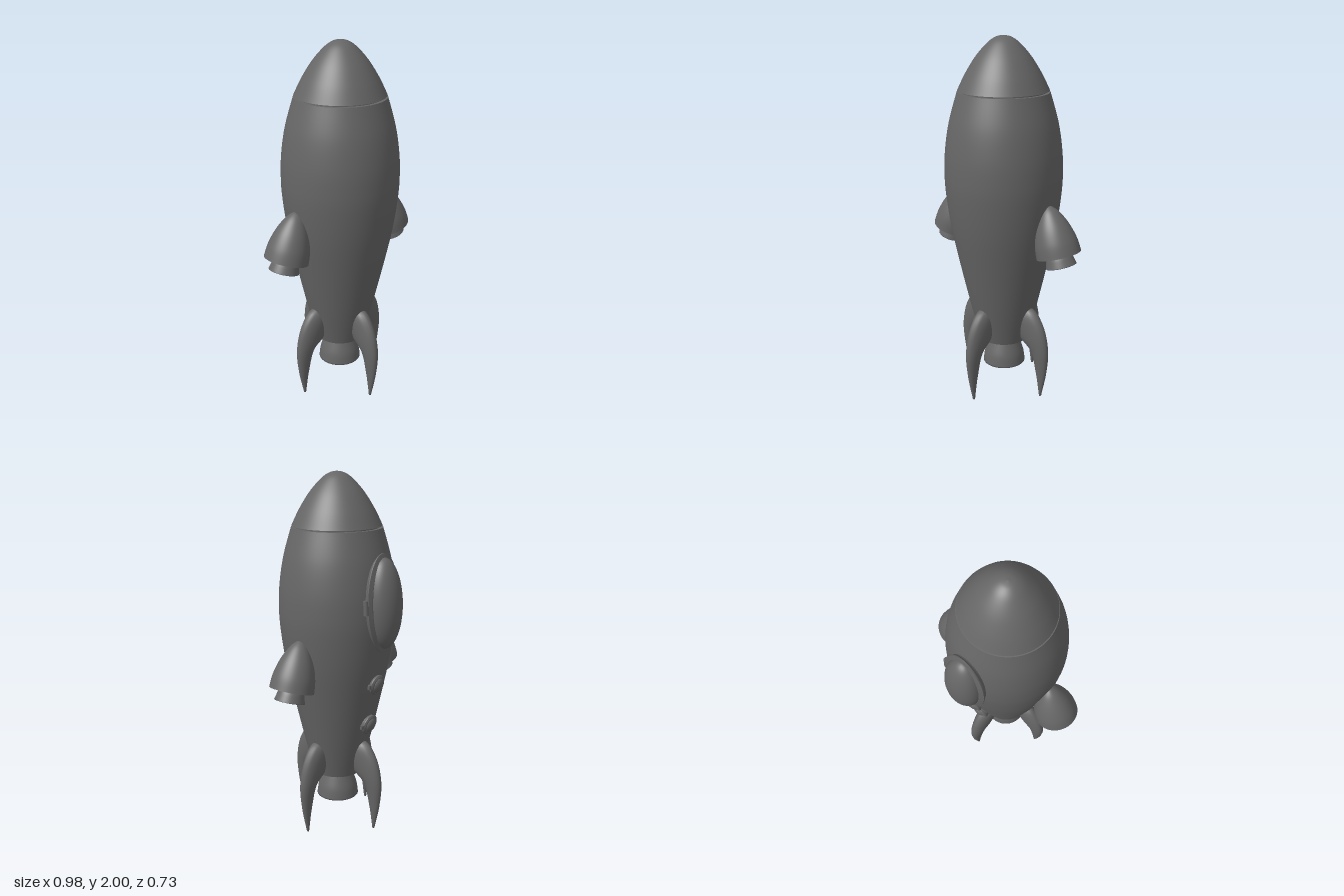
import * as THREE from 'three';

const paint = new THREE.MeshStandardMaterial({ color: 0x666666 });
const thinPaint = new THREE.MeshStandardMaterial({ color: 0x666666, side: THREE.DoubleSide });

function mesh(name, geometry, material = paint) {
  const m = new THREE.Mesh(geometry, material);
  m.name = name;
  return m;
}

const vecs = (pts) => pts.map(([x, y]) => new THREE.Vector2(x, y));
const smooth = (pts, n = 40) => new THREE.SplineCurve(vecs(pts)).getPoints(n);

// Lathe whose profile pieces are smooth inside and creased where they meet
const lathe = (...pieces) => new THREE.LatheGeometry(pieces.flat(), 64);

// Straight-sided profile: every corner is doubled to stay sharp
const sharp = (pts) => vecs(pts).flatMap((p) => [p, p.clone()]);

// Hollow bell nozzle hanging below y = 0
function nozzle(name, topR, bottomR, height) {
  const wall = bottomR * 0.12;
  const bell = (inset) => smooth([
    [bottomR - inset, -height],
    [bottomR * 0.93 - inset, -height * 0.65],
    [topR + (bottomR - topR) * 0.4 - inset, -height * 0.3],
    [topR - inset, 0],
  ], 16);
  const inner = bell(wall).reverse();
  return mesh(name, lathe([new THREE.Vector2(0, 0)], inner, bell(0)), thinPaint);
}

// Swept fin: elliptical cross-sections between an outer and an inner edge
function finGeometry() {
  // outer edge as (x, y, half thickness), inner edge as (x, y)
  const outer = new THREE.CatmullRomCurve3([
    [0.165, 0.538, 0.034], [0.225, 0.51, 0.046], [0.282, 0.43, 0.045],
    [0.314, 0.3, 0.036], [0.306, 0.16, 0.022], [0.274, 0.004, 0.007],
  ].map((p) => new THREE.Vector3(...p)));
  const inner = new THREE.CatmullRomCurve3([
    [0.1, 0.5], [0.1, 0.42], [0.13, 0.335],
    [0.2, 0.28], [0.238, 0.15], [0.262, 0.004],
  ].map(([x, y]) => new THREE.Vector3(x, y, 0)));
  const rows = 32, sides = 20, pos = [], idx = [];
  for (let i = -1; i <= rows + 1; i++) {
    const t = THREE.MathUtils.clamp(i / rows, 0, 1);
    const k = i < 0 || i > rows ? 0 : 1; // closed ends
    const o = outer.getPoint(t), n = inner.getPoint(t);
    for (let j = 0; j < sides; j++) {
      const a = (j / sides) * Math.PI * 2, c = Math.cos(a) * 0.5 * k;
      pos.push((o.x + n.x) / 2 + (o.x - n.x) * c, (o.y + n.y) / 2 + (o.y - n.y) * c, o.z * Math.sin(a) * k);
    }
  }
  for (let i = 0; i < rows + 2; i++) {
    for (let j = 0; j < sides; j++) {
      const a = i * sides + j, b = i * sides + ((j + 1) % sides);
      idx.push(a, b, b + sides, a, b + sides, a + sides);
    }
  }
  const g = new THREE.BufferGeometry();
  g.setAttribute('position', new THREE.Float32BufferAttribute(pos, 3));
  g.setIndex(idx);
  g.computeVertexNormals();
  return g;
}

// Framed oval window with a domed pane and a side hinge, facing +y before it is turned
function makeWindow(name, w, h, rim, depth, thick) {
  const g = new THREE.Group();
  g.name = name;
  const frame = mesh(name + 'Frame', lathe(sharp([
    [0.9, -thick * 1.6], [0.94, -thick * 0.8], [1, -thick * 0.3], [1, 0], [0.84, thick * 0.45], [0, thick * 0.45],
  ])));
  frame.scale.set(w, 1, h);
  const dome = mesh(name + 'Pane', new THREE.SphereGeometry(1, 48, 20, 0, Math.PI * 2, 0, Math.PI / 2));
  dome.scale.set(w - rim, depth, h - rim * 0.8);
  const hinge = mesh(name + 'Hinge', new THREE.CylinderGeometry(thick * 0.6, thick * 0.6, h * 0.25 + 0.01, 16));
  hinge.rotation.x = Math.PI / 2;
  hinge.position.set(w + thick * 0.15, -thick * 0.6, 0);
  g.add(frame, dome, hinge);
  return g;
}

export function createModel() {
  const root = new THREE.Group();
  root.name = 'rocket';
  const rocket = new THREE.Group();
  rocket.name = 'rocketAssembly';
  rocket.position.z = 0.044;
  root.add(rocket);

  // Hull with a flat base and a thin groove under the nose
  rocket.add(mesh('hull', lathe(
    sharp([[0, 0.31], [0.138, 0.31]]),
    smooth([[0.138, 0.31], [0.193, 0.53], [0.253, 0.8], [0.292, 1.0], [0.314, 1.18], [0.318, 1.3],
      [0.311, 1.42], [0.288, 1.56], [0.244, 1.714]], 60),
    sharp([[0.244, 1.714], [0.225, 1.714], [0.225, 1.73]]),
  )));
  rocket.add(mesh('noseCone', lathe(
    sharp([[0.2, 1.722], [0.241, 1.722]]),
    smooth([[0.241, 1.722], [0.2, 1.805], [0.145, 1.892], [0.085, 1.96], [0.04, 1.991], [0, 2]]),
  )));

  // Main engine
  const engine = nozzle('mainNozzle', 0.075, 0.12, 0.165);
  engine.position.y = 0.315;
  rocket.add(engine);

  // Four landing fins
  const finGeo = finGeometry();
  for (let i = 0; i < 4; i++) {
    const fin = mesh('fin' + (i + 1), finGeo);
    fin.rotation.y = (i * Math.PI) / 2;
    rocket.add(fin);
  }

  // Tilted side boosters
  for (const [side, s] of [['left', 1], ['right', -1]]) {
    const booster = new THREE.Group();
    booster.name = side + 'Booster';
    booster.add(mesh(side + 'BoosterShell', lathe(
      sharp([[0, 0], [0.12, 0]]),
      smooth([[0.12, 0], [0.113, 0.07], [0.09, 0.15], [0.055, 0.22], [0.025, 0.255], [0, 0.268]], 30),
    )));
    const jet = nozzle(side + 'BoosterNozzle', 0.062, 0.082, 0.064);
    jet.position.y = 0.004;
    booster.add(jet);
    booster.position.set(s * 0.376, 0.897, 0);
    booster.rotation.z = s * 0.3;
    rocket.add(booster);
  }

  // Large cockpit window and two portholes on the back
  const windows = [
    ['cockpitWindow', [0.135, 0.262, 0.026, 0.09, 0.022], 1.342, -0.317, -0.04],
    ['upperPorthole', [0.058, 0.058, 0.016, 0.024, 0.016], 0.885, -0.282, 0.19],
    ['lowerPorthole', [0.058, 0.058, 0.016, 0.024, 0.016], 0.64, -0.234, 0.22],
  ];
  for (const [name, size, y, z, tilt] of windows) {
    const win = makeWindow(name, ...size);
    win.position.set(0, y, z);
    win.rotation.x = -Math.PI / 2 - tilt;
    rocket.add(win);
  }
  return root;
}
